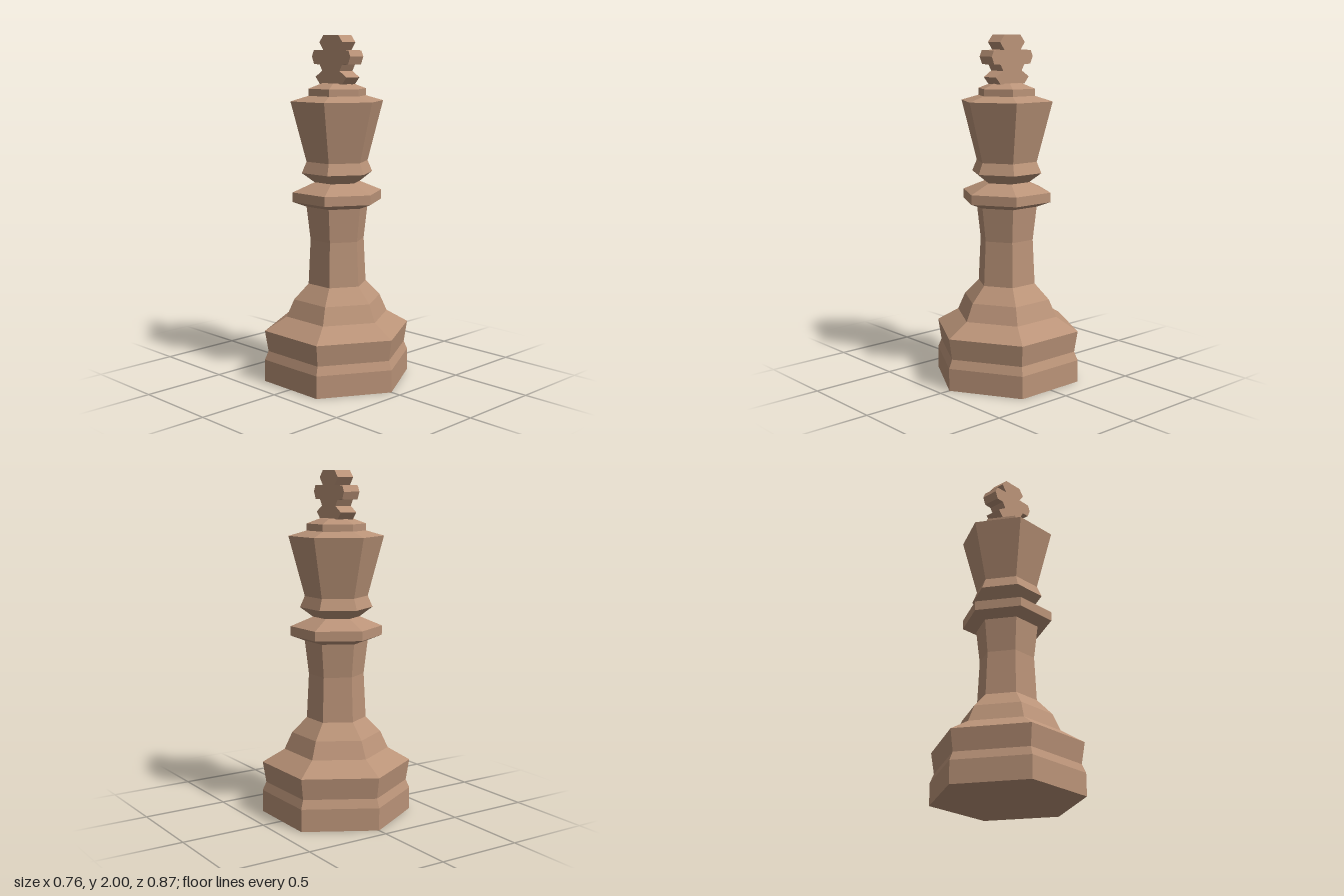
import * as THREE from 'three';

export function createModel() {
  const group = new THREE.Group();
  const wood = new THREE.MeshStandardMaterial({ color: 0xba9378 });
  wood.name = 'wood';
  wood.flatShading = true;

  const add = (name, geometry) => {
    const mesh = new THREE.Mesh(geometry, wood);
    mesh.name = name;
    group.add(mesh);
  };

  // Six-sided turned parts: [radius, height] from bottom to top, corners on the z axis
  const turned = (name, profile) =>
    add(name, new THREE.LatheGeometry(profile.map(([r, y]) => new THREE.Vector2(r, y)), 6));

  turned('base', [[0, 0], [0.437, 0], [0.437, 0.13], [0.415, 0.18], [0.435, 0.303],
    [0.305, 0.38], [0.26, 0.48], [0.173, 0.57]]);
  turned('column', [[0.173, 0.57], [0.16, 0.83], [0.183, 1.025]]);
  turned('collar', [[0.183, 1.025], [0.265, 1.055], [0.265, 1.11], [0.135, 1.165]]);
  turned('neckRing', [[0.135, 1.165], [0.21, 1.22], [0.182, 1.285]]);
  turned('head', [[0.182, 1.285], [0.274, 1.63], [0.17, 1.66]]);
  turned('crownCap', [[0.17, 1.66], [0.17, 1.70], [0.09, 1.73], [0, 1.73]]);

  // Flared cross: one half outline, mirrored and extruded across x
  const half = [[0.09, 1.725], [0.125, 1.765], [0.07, 1.80], [0.09, 1.835], [0.137, 1.837],
    [0.155, 1.88], [0.14, 1.915], [0.062, 1.917], [0.093, 1.96], [0.06, 2]];
  const outline = [...half, ...half.map(([z, y]) => [-z, y]).reverse()];
  const shape = new THREE.Shape(outline.map(([z, y]) => new THREE.Vector2(z, y)));
  const cross = new THREE.ExtrudeGeometry(shape, { depth: 0.104, bevelEnabled: false });
  cross.translate(0, 0, -0.052).rotateY(Math.PI / 2);
  add('topCross', cross);

  return group;
}
